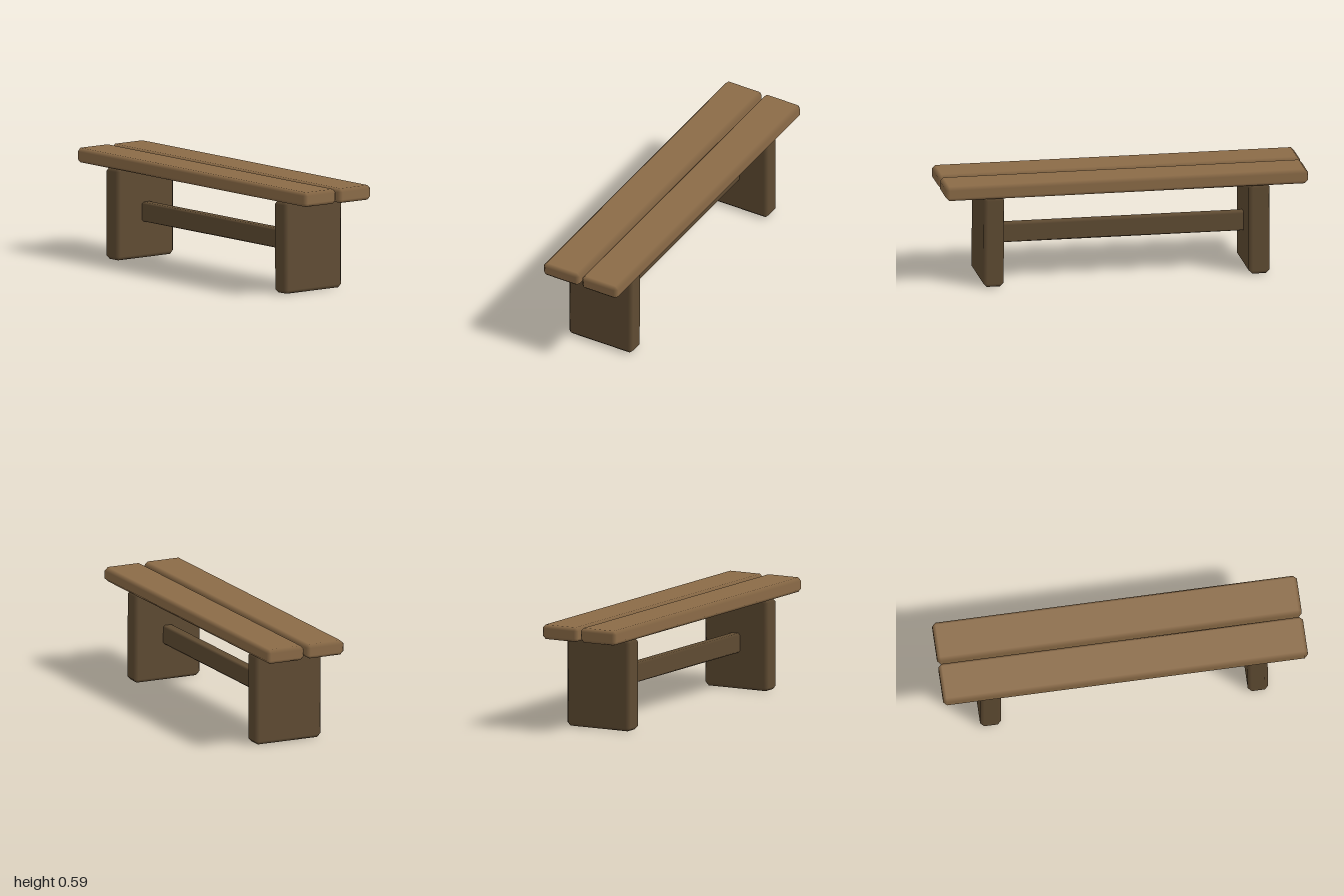
import * as THREE from 'three';

// Box with a single chamfer on every edge; flat faces, softly shaded chamfers
function chamferBox(w, h, d, bevel) {
  const half = [w / 2, h / 2, d / 2];
  const positions = [], normals = [], index = [];
  const id = (axis, s) => axis * 8 + (s[0] > 0 ? 4 : 0) + (s[1] > 0 ? 2 : 0) + (s[2] > 0 ? 1 : 0);
  const signs = [-1, 1];

  // One vertex per face axis and corner
  for (let axis = 0; axis < 3; axis++) {
    for (const x of signs) for (const y of signs) for (const z of signs) {
      const s = [x, y, z];
      s.forEach((v, i) => {
        positions.push(v * (half[i] - (i === axis ? 0 : bevel)));
        normals.push(i === axis ? v : 0);
      });
    }
  }

  // Adds a triangle wound to face away from the centre
  const point = (i) => new THREE.Vector3().fromArray(positions, i * 3);
  const tri = (a, b, c) => {
    const A = point(a);
    const n = point(b).sub(A).cross(point(c).sub(A));
    if (n.dot(A) > 0) index.push(a, b, c);
    else index.push(a, c, b);
  };
  const quad = (a, b, c, d2) => { tri(a, b, c); tri(a, c, d2); };

  for (let i = 0; i < 3; i++) {
    const j = (i + 1) % 3, k = (i + 2) % 3;
    const corner = (si, sj, sk) => {
      const s = [];
      s[i] = si; s[j] = sj; s[k] = sk;
      return s;
    };
    // Main faces
    for (const a of signs) {
      quad(id(i, corner(a, -1, -1)), id(i, corner(a, 1, -1)), id(i, corner(a, 1, 1)), id(i, corner(a, -1, 1)));
      // Edge chamfers between faces i and j
      for (const b of signs) {
        quad(id(i, corner(a, b, -1)), id(i, corner(a, b, 1)), id(j, corner(a, b, 1)), id(j, corner(a, b, -1)));
      }
    }
  }
  // Corner triangles
  for (const x of signs) for (const y of signs) for (const z of signs) {
    tri(id(0, [x, y, z]), id(1, [x, y, z]), id(2, [x, y, z]));
  }

  const geometry = new THREE.BufferGeometry();
  geometry.setAttribute('position', new THREE.Float32BufferAttribute(positions, 3));
  geometry.setAttribute('normal', new THREE.Float32BufferAttribute(normals, 3));
  geometry.setIndex(index);
  return geometry;
}

export function createModel() {
  const bench = new THREE.Group();
  bench.name = 'bench';

  const seatWood = new THREE.MeshStandardMaterial({ color: 0x8b6b47 });
  seatWood.name = 'seatWood';
  const frameWood = new THREE.MeshStandardMaterial({ color: 0x5f4b32 });
  frameWood.name = 'frameWood';

  const add = (name, size, bevel, position, material) => {
    const mesh = new THREE.Mesh(chamferBox(...size, bevel), material);
    mesh.name = name;
    mesh.position.set(...position);
    bench.add(mesh);
    return mesh;
  };

  // Seat planks, slightly uneven
  add('frontPlank', [2, 0.08, 0.226], 0.019, [0, 0.548, 0.122], seatWood);
  add('backPlank', [2, 0.08, 0.226], 0.019, [0, 0.546, -0.119], seatWood);

  // Slab legs; the left one leans a touch
  add('rightLeg', [0.115, 0.507, 0.4], 0.02, [-0.735, 0.2535, 0], frameWood);
  const leftLeg = add('leftLeg', [0.112, 0.507, 0.4], 0.02, [0.73, 0.2535, 0], frameWood);
  leftLeg.rotation.z = 0.008;

  // Stretcher beam between the legs
  add('stretcher', [1.44, 0.107, 0.06], 0.01, [0, 0.255, 0], frameWood);

  return bench;
}
